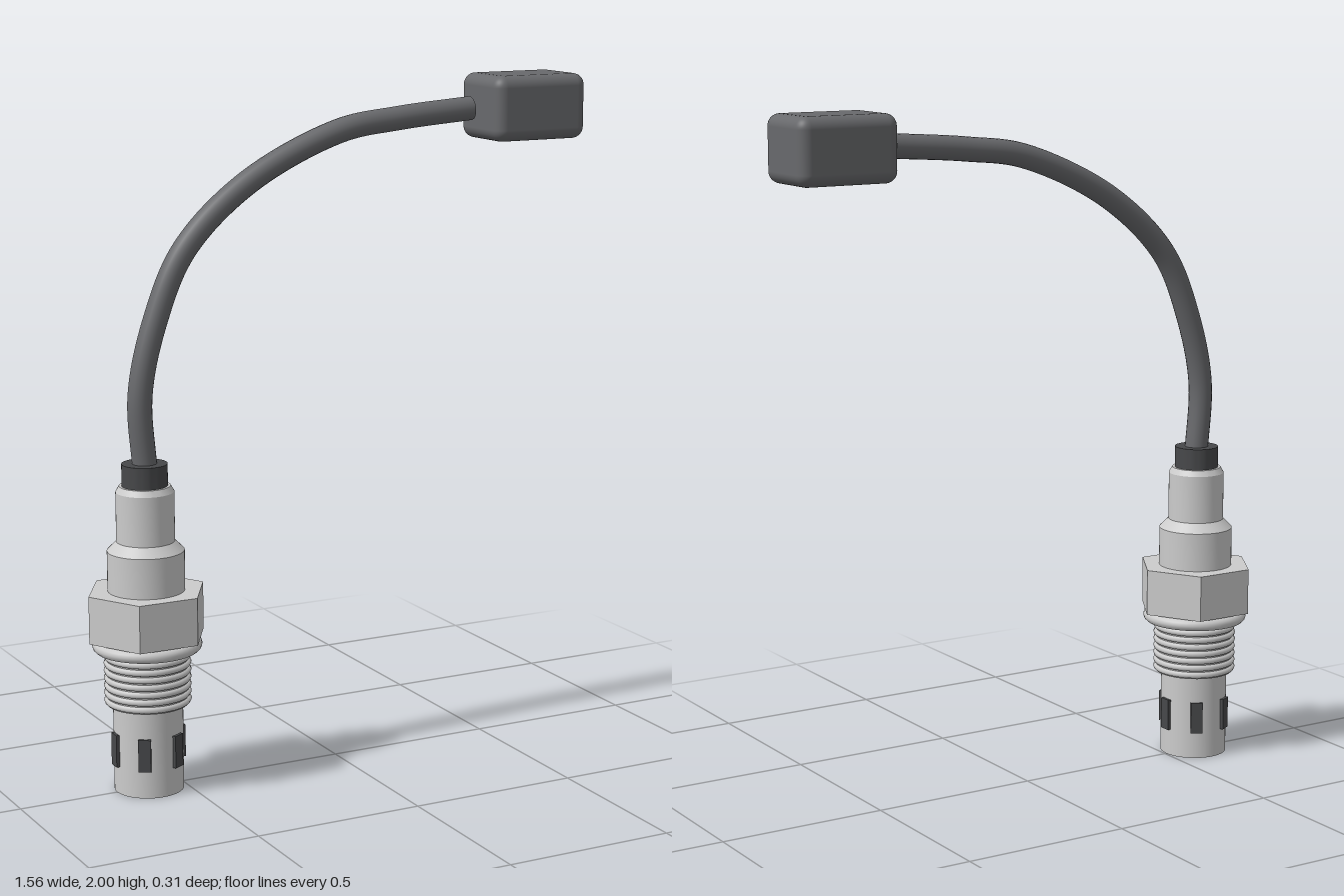
import * as THREE from 'three';
import { RoundedBoxGeometry } from 'three/addons/geometries/RoundedBoxGeometry.js';
import { toCreasedNormals } from 'three/addons/utils/BufferGeometryUtils.js';

const metal = new THREE.MeshStandardMaterial({ color: 0xcccccc });
const rubber = new THREE.MeshStandardMaterial({ color: 0x68696c });
const dark = new THREE.MeshStandardMaterial({ color: 0x47484a });

const AXIS_X = -0.605; // the sensor body stands on this vertical axis

function add(parent, name, geometry, material, x = 0, y = 0, z = 0) {
  const mesh = new THREE.Mesh(geometry, material);
  mesh.name = name;
  mesh.position.set(x, y, z);
  parent.add(mesh);
  return mesh;
}

// Turned part with crisp edges from [radius, y] pairs, bottom to top
function turned(points) {
  const profile = points.map(([r, y]) => new THREE.Vector2(r, y));
  return toCreasedNormals(new THREE.LatheGeometry(profile, 48), 0.5);
}

export function createModel() {
  const model = new THREE.Group();
  model.name = 'threadedSensor';
  const body = new THREE.Group();
  body.name = 'sensorBody';
  body.position.x = AXIS_X;
  model.add(body);

  // Perforated tip: six dark slots around a plain sleeve
  add(body, 'tip', turned([[0, 0], [0.1, 0], [0.1, 0.26]]), metal);
  for (let i = 0; i < 6; i++) {
    const a = Math.PI / 6 + (i * Math.PI) / 3;
    const slot = add(body, 'tipSlot', new THREE.BoxGeometry(0.036, 0.095, 0.03), dark,
      Math.sin(a) * 0.093, 0.128, Math.cos(a) * 0.093);
    slot.rotation.y = a;
  }

  // Threaded section: core with stacked ridges
  add(body, 'threadCore', turned([[0, 0.255], [0.117, 0.255], [0.117, 0.45], [0, 0.45]]), metal);
  for (let i = 0; i < 7; i++) {
    const ridge = add(body, 'threadRidge', new THREE.TorusGeometry(0.115, 0.01, 8, 48), metal,
      0, 0.267 + i * 0.0218, 0);
    ridge.rotation.x = Math.PI / 2;
  }

  // Sealing washer
  const washer = add(body, 'washer', new THREE.TorusGeometry(0.139, 0.018, 12, 48), metal, 0, 0.43, 0);
  washer.rotation.x = Math.PI / 2;
  add(body, 'washerPlate', new THREE.CylinderGeometry(0.139, 0.139, 0.034, 48), metal, 0, 0.43, 0);

  // Hexagonal nut, corners pointing along x
  const hex = new THREE.CylinderGeometry(0.177, 0.177, 0.138, 6).rotateY(Math.PI / 6 * 3);
  add(body, 'hexNut', toCreasedNormals(hex, 0.5), metal, 0, 0.52, 0);

  // Stepped upper housing
  add(body, 'housing', turned([
    [0.11, 0.585], [0.11, 0.705], [0.083, 0.732], [0.083, 0.875], [0.073, 0.892], [0, 0.892],
  ]), metal);

  // Cable collar
  add(body, 'collar', turned([[0.065, 0.885], [0.065, 0.955], [0, 0.955]]), dark);

  // Curved cable with closed ends
  const path = new THREE.CatmullRomCurve3([
    [-0.603, 0.93], [-0.615, 1.15], [-0.565, 1.36], [-0.475, 1.55],
    [-0.28, 1.725], [0.01, 1.857], [0.2, 1.885], [0.443, 1.904],
  ].map(([x, y]) => new THREE.Vector3(x, y, 0)));
  add(model, 'cable', new THREE.TubeGeometry(path, 80, 0.035, 20), rubber);
  const end = path.getPoint(1);
  const cap = add(model, 'cableEnd', new THREE.CircleGeometry(0.035, 20), rubber, end.x, end.y, end.z);
  cap.quaternion.setFromUnitVectors(new THREE.Vector3(0, 0, 1), path.getTangent(1));

  // Plug at the far end
  add(model, 'plug', new RoundedBoxGeometry(0.306, 0.19, 0.22, 5, 0.034), rubber, 0.625, 1.905, 0);

  return model;
}
